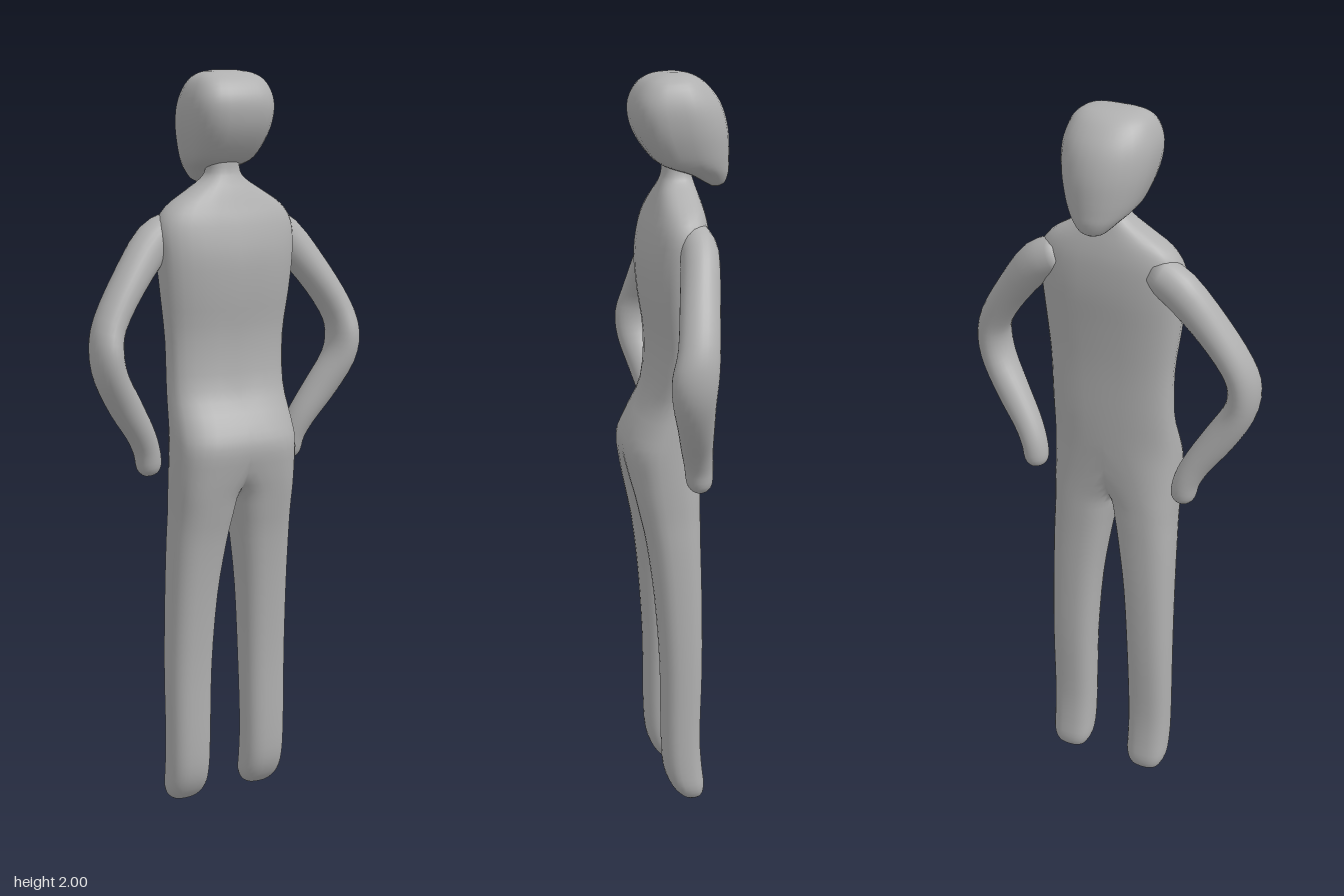
import * as THREE from 'three';
import { mergeVertices } from 'three/addons/utils/BufferGeometryUtils.js';

const SEG = 28;

// Smoothly resample rows of numbers, `steps` per interval
function resample(rows, steps) {
  const size = rows[0].length;
  const curve = new THREE.CubicInterpolant(rows.map((_, i) => i), rows.flat(), size, new Float32Array(size));
  const count = (rows.length - 1) * steps;
  return Array.from({ length: count + 1 }, (_, i) => Array.from(curve.evaluate(i / steps)));
}

const power = (v, e) => Math.sign(v) * Math.pow(Math.abs(v), e);

// Horizontal superellipse: row is [y, centreX, radiusX, zMax, zMin]
function levelRing([y, cx, rx, zMax, zMin], pMax, pMin, clampX) {
  const cz = (zMax + zMin) / 2, rz = (zMax - zMin) / 2;
  const ring = [];
  for (let i = 0; i < SEG; i++) {
    const a = (i / SEG) * Math.PI * 2, s = Math.sin(a);
    const p = s > 0 ? pMax : pMin;
    let x = cx + rx * power(Math.cos(a), 2 / p);
    let z = cz + rz * power(s, 2 / p);
    if (clampX && x < 1e-4) {
      // Inner half meets the middle plane
      const edge = Math.pow(Math.max(0, 1 - Math.pow(Math.min(1, Math.abs(cx / rx)), p)), 1 / p);
      x = 0;
      z = cz + rz * edge * (s > 0 ? 1 : -1);
    }
    ring.push(new THREE.Vector3(x, y, z));
  }
  return ring;
}

// Skin over a list of rings with closed ends; mirror adds the other half
function loft(rings, mirror = false) {
  const points = rings.flat(), index = [];
  const last = rings.length - 1;
  const add = (a, b, c) => {
    if (mirror && [a, b, c].every((k) => points[k].x < 1e-6)) return;
    index.push(a, b, c);
  };
  for (let r = 0; r < last; r++) {
    for (let i = 0; i < SEG; i++) {
      const a = r * SEG + i, b = r * SEG + (i + 1) % SEG;
      add(a, a + SEG, b);
      add(b, a + SEG, b + SEG);
    }
  }
  for (const r of [0, last]) {
    const centre = points.length;
    points.push(rings[r].reduce((sum, p) => sum.add(p), new THREE.Vector3()).divideScalar(SEG));
    for (let i = 0; i < SEG; i++) {
      const a = r * SEG + i, b = r * SEG + (i + 1) % SEG;
      if (r === 0) add(centre, a, b);
      else add(centre, b, a);
    }
  }
  const position = points.flatMap((p) => [p.x, p.y, p.z]);
  if (mirror) {
    const n = points.length, half = index.length;
    for (const p of points) position.push(p.x === 0 ? 0 : -p.x, p.y, p.z);
    for (let k = 0; k < half; k += 3) index.push(index[k] + n, index[k + 2] + n, index[k + 1] + n);
  }
  let geometry = new THREE.BufferGeometry();
  geometry.setAttribute('position', new THREE.Float32BufferAttribute(position, 3));
  geometry.setIndex(index);
  geometry = mergeVertices(geometry, 1e-5);
  geometry.computeVertexNormals();
  return geometry;
}

// Leg and half torso in one run, from sole to neck
const BODY = [
  [0.004, 0.12, 0.02, -0.01, -0.035],
  [0.014, 0.12, 0.042, 0.008, -0.052],
  [0.045, 0.12, 0.057, 0.034, -0.058],
  [0.1, 0.12, 0.06, 0.054, -0.052],
  [0.2, 0.12, 0.061, 0.06, -0.046],
  [0.4, 0.118, 0.064, 0.062, -0.052],
  [0.6, 0.111, 0.07, 0.075, -0.052],
  [0.75, 0.1, 0.08, 0.093, -0.05],
  [0.83, 0.092, 0.086, 0.109, -0.05],
  [0.89, 0.085, 0.094, 0.122, -0.05],
  [0.95, 0.06, 0.12, 0.135, -0.052],
  [1.02, 0.03, 0.15, 0.145, -0.056],
  [1.08, 0, 0.178, 0.124, -0.06],
  [1.17, 0, 0.174, 0.078, -0.062],
  [1.3, 0, 0.176, 0.069, -0.063],
  [1.42, 0, 0.19, 0.085, -0.07],
  [1.52, 0, 0.2, 0.092, -0.078],
  [1.6, 0, 0.2, 0.08, -0.077],
  [1.65, 0, 0.17, 0.064, -0.07],
  [1.69, 0, 0.108, 0.05, -0.06],
  [1.72, 0, 0.06, 0.038, -0.052],
  [1.75, 0, 0.044, 0.03, -0.045],
  [1.82, 0, 0.044, 0.03, -0.045],
];

// Head with the chin reaching toward -z
const HEAD = [
  [1.705, 0, 0.016, -0.1, -0.125],
  [1.715, 0, 0.036, -0.082, -0.138],
  [1.74, 0, 0.062, -0.035, -0.146],
  [1.765, 0, 0.086, 0.035, -0.147],
  [1.8, 0, 0.102, 0.072, -0.147],
  [1.85, 0, 0.116, 0.102, -0.144],
  [1.9, 0, 0.121, 0.114, -0.132],
  [1.94, 0, 0.115, 0.108, -0.112],
  [1.975, 0, 0.098, 0.084, -0.08],
  [1.993, 0, 0.07, 0.052, -0.05],
  [2.0, 0, 0.03, 0.018, -0.02],
];

// Arm path: x, y, z, thickness radius, depth radius
const ARM = [
  [0.13, 1.595, -0.022, 0.05, 0.044],
  [0.2, 1.56, -0.024, 0.054, 0.05],
  [0.285, 1.46, -0.005, 0.047, 0.052],
  [0.35, 1.36, 0.012, 0.043, 0.054],
  [0.368, 1.29, 0.025, 0.042, 0.06],
  [0.355, 1.22, 0.025, 0.043, 0.056],
  [0.308, 1.14, 0.01, 0.044, 0.048],
  [0.258, 1.065, -0.005, 0.039, 0.042],
  [0.231, 1.01, -0.016, 0.036, 0.038],
  [0.222, 0.965, -0.02, 0.034, 0.034],
  [0.219, 0.945, -0.021, 0.022, 0.022],
  [0.218, 0.94, -0.021, 0.008, 0.008],
];

function armRings(side) {
  const rows = resample(ARM.map(([x, ...rest]) => [x * side, ...rest]), 3);
  return rows.map(([x, y, z, rn, rz], k) => {
    const before = rows[Math.max(0, k - 1)], after = rows[Math.min(rows.length - 1, k + 1)];
    const across = new THREE.Vector2(after[1] - before[1], before[0] - after[0]).normalize();
    return Array.from({ length: SEG }, (_, i) => {
      const a = (i / SEG) * Math.PI * 2, c = Math.cos(a) * rn;
      return new THREE.Vector3(x + across.x * c, y + across.y * c, z + Math.sin(a) * rz);
    });
  });
}

export function createModel() {
  const model = new THREE.Group();
  model.name = 'standingFigure';
  const grey = new THREE.MeshStandardMaterial({ color: 0xb0b0b0 });
  grey.name = 'plain grey';

  const addPart = (name, geometry) => {
    const mesh = new THREE.Mesh(geometry, grey);
    mesh.name = name;
    model.add(mesh);
  };

  addPart('torsoAndLegs', loft(resample(BODY, 3).map((row) => levelRing(row, 2.5, 2.5, true)), true));
  addPart('head', loft(resample(HEAD, 3).map((row) => levelRing(row, 3.2, 2, false))));
  addPart('leftArm', loft(armRings(1)));
  addPart('rightArm', loft(armRings(-1)));
  return model;
}
